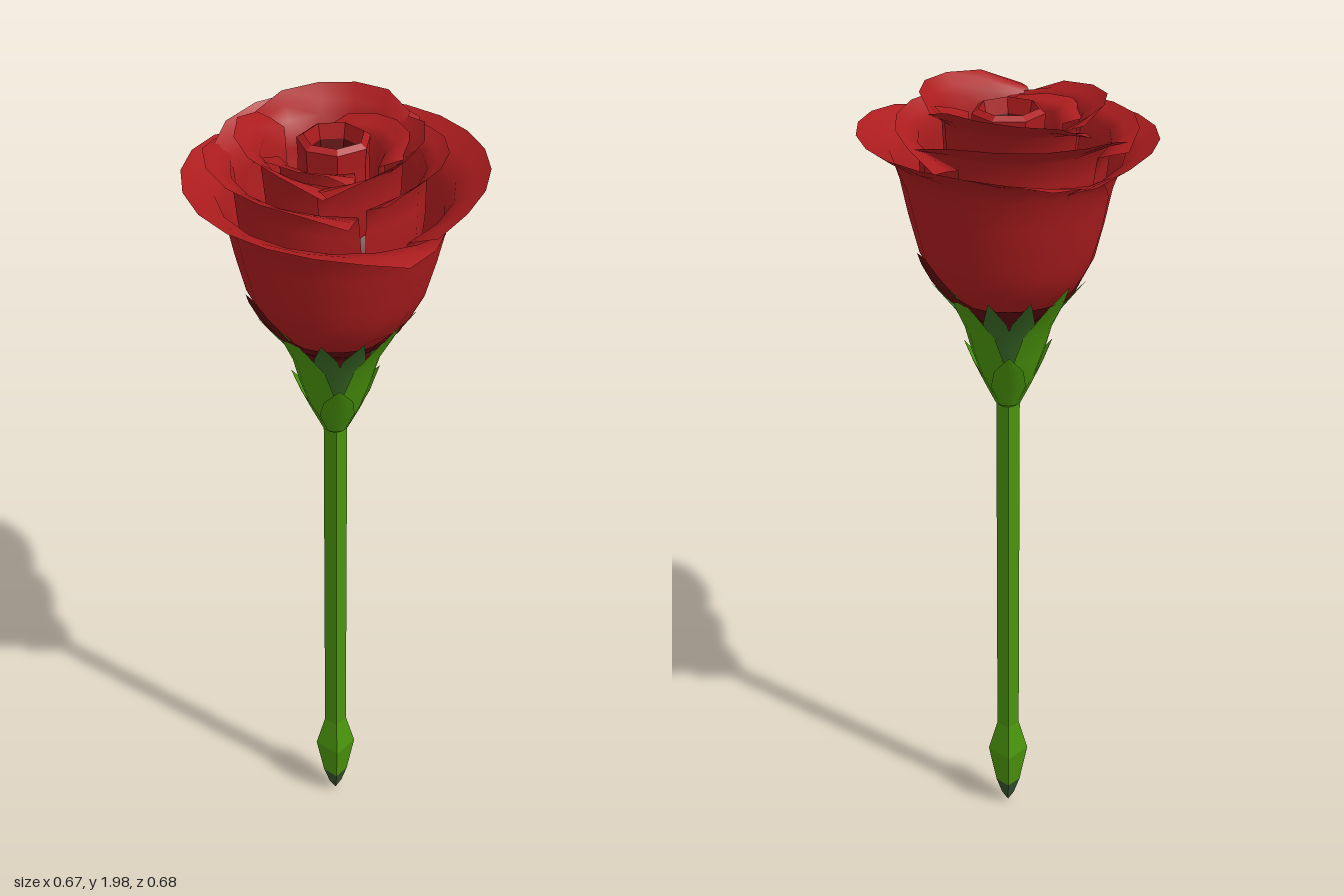
import * as THREE from 'three';

const mat = (name, color, side = THREE.FrontSide) => {
  const m = new THREE.MeshStandardMaterial({ color, side });
  m.name = name;
  return m;
};

// Grid surface from a rule (u across -1..1, v upwards 0..1)
function surface(name, material, nu, nv, rule) {
  const pos = [], idx = [];
  for (let j = 0; j <= nv; j++) {
    for (let i = 0; i <= nu; i++) pos.push(...rule((i / nu) * 2 - 1, j / nv));
  }
  for (let j = 0; j < nv; j++) {
    for (let i = 0; i < nu; i++) {
      const a = j * (nu + 1) + i, b = a + nu + 1;
      idx.push(a, b, a + 1, a + 1, b, b + 1);
    }
  }
  const g = new THREE.BufferGeometry();
  g.setAttribute('position', new THREE.Float32BufferAttribute(pos, 3));
  g.setIndex(idx);
  g.computeVertexNormals();
  const m = new THREE.Mesh(g, material);
  m.name = name;
  return m;
}

// Linear lookup along a list of points
function along(list, t) {
  const f = t * (list.length - 1), i = Math.min(Math.floor(f), list.length - 2);
  return list[i].map((a, k) => a + (list[i + 1][k] - a) * (f - i));
}

// Profiles run from base to rim: [radius, height, share of the width, extra degrees at the start side]
const OUTER = [[0.07, 1.46, 0.85, 25], [0.13, 1.5, 0.9, 36], [0.174, 1.55, 0.96, 42], [0.204, 1.61, 1, 44],
  [0.227, 1.7, 1.03, 44], [0.244, 1.78, 1.03, 42], [0.265, 1.835, 1.02, 30], [0.338, 1.875, 0.97, 0]];
const SECOND = [[0.12, 1.56, 0.8, 0], [0.19, 1.65, 1, 0], [0.208, 1.78, 1.05, 0],
  [0.215, 1.885, 1.03, 0], [0.268, 1.915, 0.92, 0]];
const THIRD = [[0.12, 1.68, 0.9, 0], [0.15, 1.8, 1, 0], [0.16, 1.93, 1.02, 0], [0.212, 1.97, 0.88, 0]];
const INNER = [[0.07, 1.7, 1, 0], [0.1, 1.82, 1, 0], [0.1, 1.92, 1, 0], [0.15, 1.95, 0.8, 0]];

// [name, profile, from degrees, to degrees, spiral, lift, tilt, centre x, centre z, segments]
const PETALS = [
  ['outerPetalRight', OUTER, -107, 58, -0.015, 0.025, -0.005, 0, 0, 10],
  ['outerPetalLeft', OUTER, 66, 240, -0.015, 0.0, 0.02, 0, 0, 10],
  ['secondPetalBack', SECOND, 190, 330, 0.04, 0.025, 0.01, -0.02, -0.025, 6],
  ['secondPetalRight', SECOND, -55, 70, -0.05, 0.01, 0.015, -0.02, -0.02, 6],
  ['secondPetalLeft', SECOND, 80, 215, 0.03, 0.0, 0.015, -0.015, -0.025, 6],
  ['thirdPetalBack', THIRD, 215, 345, -0.06, 0.015, 0.015, -0.01, -0.03, 5],
  ['thirdPetalRight', THIRD, -35, 105, 0.06, 0.01, -0.015, -0.01, -0.01, 5],
  ['thirdPetalLeft', THIRD, 90, 230, -0.06, 0.0, 0.02, -0.01, -0.03, 5],
  ['innerPetalRight', INNER, -110, 40, 0.14, 0.005, 0.01, 0, -0.03, 5],
  ['innerPetalFront', INNER, 60, 185, 0.14, -0.01, 0.01, -0.01, -0.02, 4],
];

function petal([name, profile, from, to, spiral, lift, tilt, cx, cz, segments], material) {
  const mid = (from + to) / 2, half = (to - from) / 2;
  return surface(name, material, segments, (profile.length - 1) * 2, (u, v) => {
    const [r, y, w, extra] = along(profile, v);
    const a = THREE.MathUtils.degToRad(mid + u * half * w - (extra * (1 - u)) / 2);
    const rr = r * (1 + spiral * u);
    const rim = v ** 4;
    const yy = y + rim * (lift + tilt * u - 0.035 * u ** 4);
    return [cx * v + rr * Math.cos(a), yy, cz * v + rr * Math.sin(a)];
  });
}

// Pointed leaf hugging the cup; path points are [radius, height, half width]
function sepal(name, path, degrees, material) {
  const angle = THREE.MathUtils.degToRad(degrees);
  return surface(name, material, 4, path.length - 1, (u, v) => {
    const [r, y, w] = along(path, v);
    const a = angle + (u * w) / r;
    return [r * Math.cos(a), y, r * Math.sin(a)];
  });
}

function lathe(name, points, sides, material, flat) {
  let g = new THREE.LatheGeometry(points.map(p => new THREE.Vector2(...p)), sides);
  if (flat) {
    g = g.toNonIndexed();
    g.computeVertexNormals();
  }
  const m = new THREE.Mesh(g, material);
  m.name = name;
  return m;
}

export function createModel() {
  const rose = new THREE.Group();
  rose.name = 'rose';
  const red = mat('petalRed', 0xac1c1e, THREE.DoubleSide);
  const darkRed = mat('coreDarkRed', 0x5e0b0c, THREE.DoubleSide);
  const green = mat('leafGreen', 0x4a940c, THREE.DoubleSide);
  const darkGreen = mat('sepalDarkGreen', 0x3a6a26, THREE.DoubleSide);
  const tipGreen = mat('tipDarkGreen', 0x34502c);

  // Square stem with a thickened, pointed foot
  rose.add(lathe('stemTip', [[0, 0.005], [0.016, 0.03], [0.031, 0.075]], 4, tipGreen, true));
  rose.add(lathe('stemFoot', [[0.031, 0.075], [0.051, 0.18], [0.028, 0.265]], 4, green, true));
  rose.add(lathe('stem', [[0.028, 0.265], [0.028, 1.22]], 4, green, true));

  // Cup under the flower
  rose.add(lathe('cup', [[0.026, 1.215], [0.052, 1.28], [0.076, 1.35], [0.086, 1.41]], 12, green));

  // Sepals: long bright ones on the diagonals, two dark ones between, short wide ones below
  const calyx = new THREE.Group();
  calyx.name = 'calyx';
  const longPath = [[0.03, 1.22, 0.018], [0.062, 1.29, 0.04], [0.086, 1.36, 0.056],
    [0.106, 1.43, 0.05], [0.145, 1.5, 0.032], [0.19, 1.57, 0.001]];
  const darkPath = [[0.066, 1.32, 0.034], [0.09, 1.4, 0.036], [0.126, 1.475, 0.028], [0.184, 1.55, 0.001]];
  const shortPath = [[0.031, 1.22, 0.022], [0.06, 1.28, 0.045], [0.084, 1.335, 0.035], [0.103, 1.38, 0.001]];
  for (let a = 0; a < 360; a += 90) {
    calyx.add(sepal('longSepal', longPath, a + 45, green));
    calyx.add(sepal('darkSepal', darkPath, a - 15, darkGreen));
    calyx.add(sepal('darkSepal', darkPath, a + 15, darkGreen));
    calyx.add(sepal('shortSepal', shortPath, a, green));
  }
  rose.add(calyx);

  // Dark heart closing the flower inside
  rose.add(lathe('core', [[0.08, 1.4], [0.084, 1.47], [0.15, 1.55], [0.185, 1.62], [0.195, 1.7],
    [0.15, 1.8], [0.05, 1.81], [0, 1.81]], 14, darkRed));

  // Dark petal base, rising in a wedge on two opposite sides
  const basePath = [[0.08, 1.45], [0.137, 1.495], [0.182, 1.55], [0.212, 1.61], [0.227, 1.66]];
  rose.add(surface('petalBase', darkRed, 36, 8, (u, v) => {
    const a = u * Math.PI;
    const wedge = Math.max(0, Math.cos(2 * (a + 0.45))) ** 4;
    const [r, y] = along(basePath, v * (0.38 + 0.52 * wedge));
    return [r * Math.cos(a), y, r * Math.sin(a)];
  }));

  // Overlapping petals
  const bloom = new THREE.Group();
  bloom.name = 'bloom';
  PETALS.forEach(p => bloom.add(petal(p, red)));

  // Rolled bud in the centre with a dark hollow
  const bud = new THREE.Group();
  bud.name = 'bud';
  bud.add(lathe('budWall', [[0.06, 1.92], [0.068, 1.955], [0.083, 1.945], [0.08, 1.9], [0.085, 1.78]], 7, red, true));
  bud.add(lathe('budHollow', [[0, 1.8], [0.045, 1.86], [0.06, 1.92]], 7, darkRed, true));
  bud.position.z = -0.03;
  bloom.add(bud);
  rose.add(bloom);

  return rose;
}
